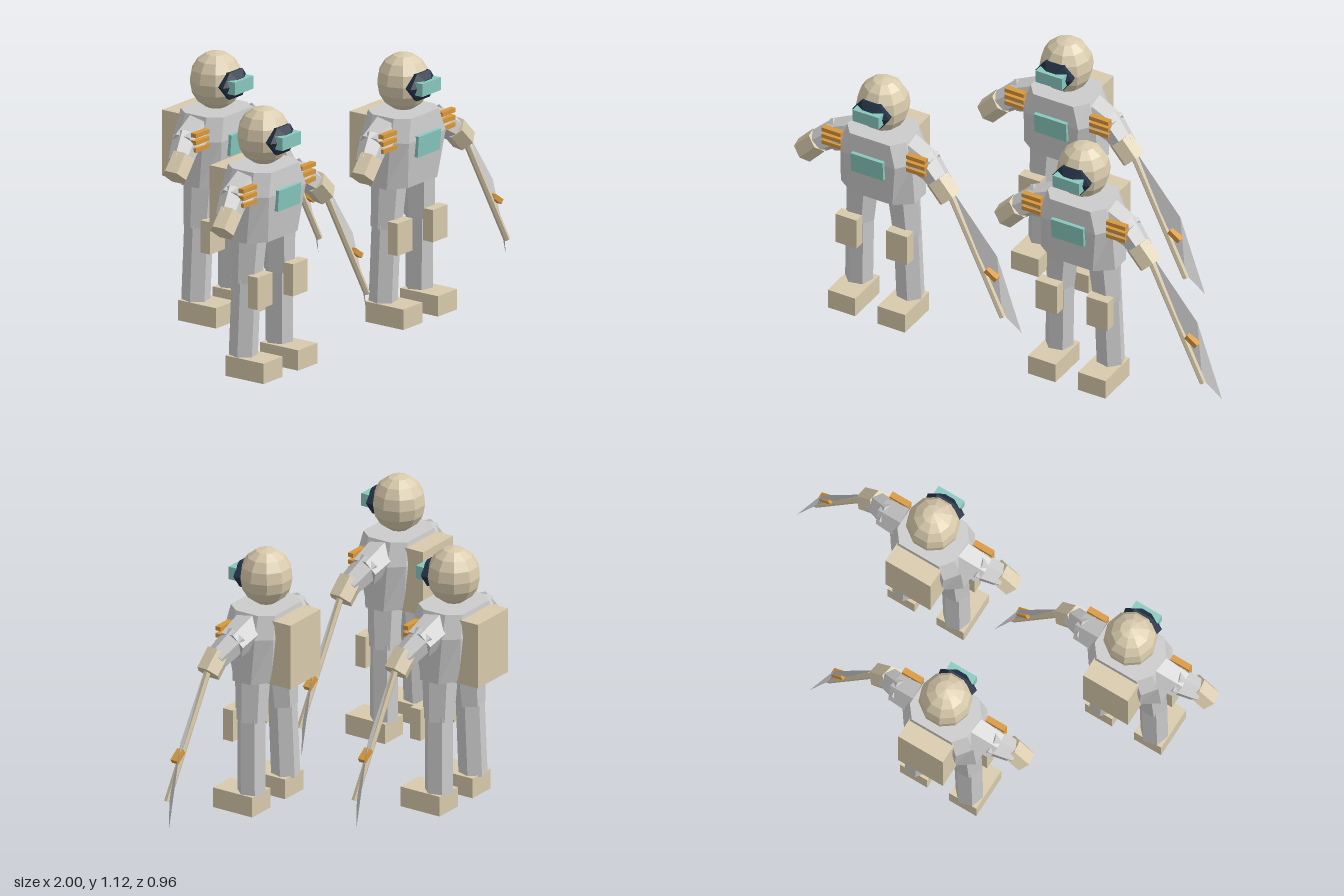
import * as THREE from 'three';

const mat = (color, side = THREE.FrontSide) =>
  new THREE.MeshStandardMaterial({ color, side, flatShading: true });
const GREY = mat(0xcccccc);
const TAN = mat(0xd8caac);
const TEAL = mat(0x88c8be);
const NAVY = mat(0x223044);
const GOLD = mat(0xd8983c);
const BLADE = mat(0xcccccc, THREE.DoubleSide);

function add(parent, name, geometry, material, x = 0, y = 0, z = 0) {
  const mesh = new THREE.Mesh(geometry, material);
  mesh.name = name;
  mesh.position.set(x, y, z);
  parent.add(mesh);
  return mesh;
}

const box = (parent, name, material, w, h, d, x, y, z) =>
  add(parent, name, new THREE.BoxGeometry(w, h, d), material, x, y, z);

// Tapered six-sided limb running from point a to point b
function limb(parent, name, material, a, b, ra, rb, sides = 6) {
  const from = new THREE.Vector3(...a), to = new THREE.Vector3(...b);
  const dir = to.clone().sub(from);
  const mid = from.clone().add(to).multiplyScalar(0.5);
  const geometry = new THREE.CylinderGeometry(rb, ra, dir.length(), sides);
  const mesh = add(parent, name, geometry, material, mid.x, mid.y, mid.z);
  mesh.quaternion.setFromUnitVectors(new THREE.Vector3(0, 1, 0), dir.normalize());
  return mesh;
}

// Eight-sided torso lofted through rings: [height, half width, half depth, front half width, side half depth]
function torsoGeometry() {
  const rings = [
    [0.58, 0.175, 0.098, 0.1, 0.045],
    [0.78, 0.17, 0.122, 0.125, 0.06],
    [0.877, 0.138, 0.11, 0.095, 0.055],
  ].map(([y, w, d, f, s]) => [
    [f, d], [w, s], [w, -s], [f, -d], [-f, -d], [-w, -s], [-w, s], [-f, d],
  ].map(([x, z]) => [x, y, z]));
  const out = [];
  for (let r = 0; r < rings.length - 1; r++) {
    for (let i = 0; i < 8; i++) {
      const j = (i + 1) % 8;
      const a = rings[r][i], b = rings[r][j], c = rings[r + 1][j], d = rings[r + 1][i];
      out.push(...a, ...b, ...c, ...a, ...c, ...d);
    }
  }
  const bottom = rings[0], top = rings[rings.length - 1];
  for (let i = 1; i < 7; i++) {
    out.push(...top[0], ...top[i], ...top[i + 1]);
    out.push(...bottom[0], ...bottom[i + 1], ...bottom[i]);
  }
  const geometry = new THREE.BufferGeometry();
  geometry.setAttribute('position', new THREE.Float32BufferAttribute(out, 3));
  geometry.computeVertexNormals();
  return geometry;
}

// Thin four-cornered blade hanging beside the pole
function bladeGeometry() {
  const a = [0.36, 0.71, 0.05], b = [0.56, 0.446, 0.035];
  const c = [0.668, 0.095, 0.02], d = [0.6, 0.2, 0.065];
  const geometry = new THREE.BufferGeometry();
  geometry.setAttribute('position',
    new THREE.Float32BufferAttribute([...a, ...d, ...b, ...b, ...d, ...c], 3));
  geometry.computeVertexNormals();
  return geometry;
}

function buildFigure() {
  const g = new THREE.Group();

  // Body and pack
  add(g, 'torso', torsoGeometry(), GREY);
  box(g, 'backpack', TAN, 0.215, 0.282, 0.125, 0, 0.716, -0.133);
  box(g, 'chestPanel', TEAL, 0.152, 0.09, 0.028, 0, 0.755, 0.119).rotation.x = 0.07;

  // Helmet and visor
  add(g, 'helmet', new THREE.SphereGeometry(0.112, 10, 8), TAN, 0, 0.997, 0).scale.y = 1.09;
  const dome = [[0, -0.04], [0.08, -0.04], [0.088, 0], [0.045, 0.025], [0, 0.025]]
    .map(([r, h]) => new THREE.Vector2(r, h));
  const visorGeometry = new THREE.LatheGeometry(dome, 6, Math.PI / 2).rotateX(Math.PI / 2);
  add(g, 'visorFrame', visorGeometry, NAVY, 0, 0.996, 0.102).scale.y = 0.76;
  box(g, 'visorScreen', TEAL, 0.125, 0.055, 0.05, 0, 0.996, 0.119);

  for (const s of [1, -1]) {
    const side = new THREE.Group();
    side.name = s > 0 ? 'leftLimbs' : 'rightLimbs';
    g.add(side);

    // Arm, glove and sleeve bands
    limb(side, 'upperArm', GREY, [s * 0.11, 0.81, 0], [s * 0.235, 0.765, 0.012], 0.075, 0.066);
    limb(side, 'forearm', GREY, [s * 0.2, 0.79, 0.005], [s * 0.3, 0.72, 0.04], 0.062, 0.05);
    limb(side, 'glove', TAN, [s * 0.28, 0.74, 0.042], [s * 0.347, 0.67, 0.048], 0.054, 0.054);
    for (let i = 0; i < 3; i++) {
      box(side, 'sleeveBand', GOLD, 0.09, 0.018, 0.026, s * 0.2, 0.828 - i * 0.031, 0.07);
    }

    // Leg, knee pad and boot
    limb(side, 'thigh', GREY, [s * 0.095, 0.62, 0], [s * 0.112, 0.398, -0.004], 0.075, 0.064);
    limb(side, 'shin', GREY, [s * 0.112, 0.42, -0.004], [s * 0.122, 0.08, -0.012], 0.06, 0.06);
    box(side, 'kneePad', TAN, 0.1, 0.138, 0.05, s * 0.12, 0.375, 0.073);
    box(side, 'boot', TAN, 0.13, 0.087, 0.195, s * 0.118, 0.0435, 0.04);
  }

  // Bladed pole in the left hand
  const weapon = new THREE.Group();
  weapon.name = 'bladedPole';
  g.add(weapon);
  limb(weapon, 'pole', TAN, [0.32, 0.735, 0.045], [0.607, 0.185, 0.071], 0.014, 0.014);
  add(weapon, 'blade', bladeGeometry(), BLADE);
  box(weapon, 'poleGrip', GOLD, 0.06, 0.022, 0.032, 0.55, 0.37, 0.058).rotation.z = -0.6;
  return g;
}

export function createModel() {
  const model = new THREE.Group();
  model.name = 'armoredTrio';
  // Three matching figures: two ahead, one behind
  const spots = [[-0.618, 0.338], [0.332, 0.338], [-0.114, -0.286]];
  spots.forEach(([x, z], i) => {
    const figure = buildFigure();
    figure.name = `figure${i + 1}`;
    figure.position.set(x, 0, z);
    model.add(figure);
  });
  return model;
}
